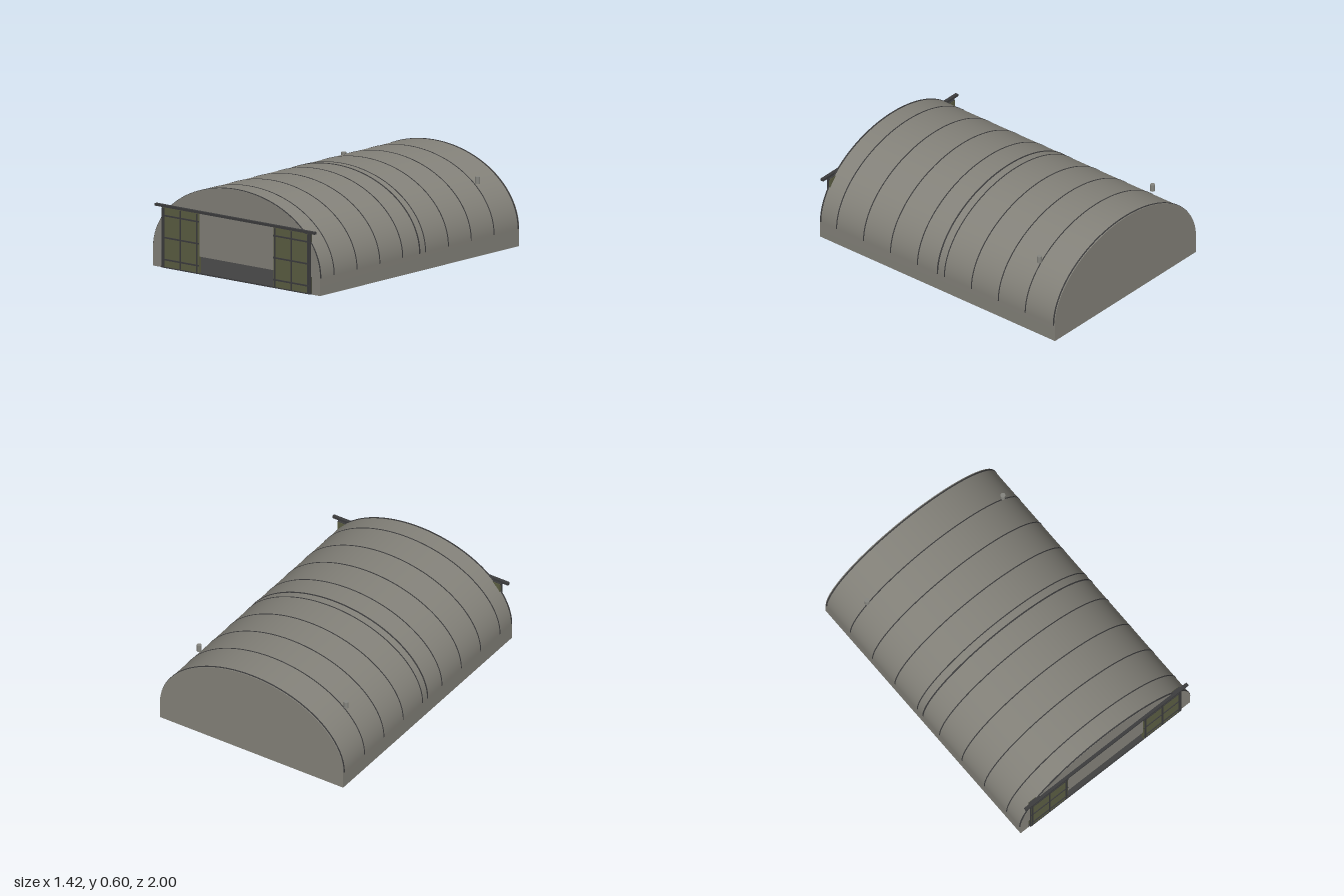
import * as THREE from 'three';
import { toCreasedNormals } from 'three/addons/utils/BufferGeometryUtils.js';

const RX = 0.707, SPRING = 0.115, RY = 0.485, INNER = 0.64;

export function createModel() {
  const root = new THREE.Group();
  root.name = 'hangar';
  const mat = (name, color) => {
    const m = new THREE.MeshStandardMaterial({ color });
    m.name = name;
    return m;
  };
  const wall = mat('concrete grey', 0x84827a);
  const dark = mat('dark steel', 0x3c3c3d);
  const olive = mat('olive paint', 0x5c5e43);
  const slab = mat('floor grey', 0x424242);
  const vent = mat('vent grey', 0x85857f);

  const add = (parent, name, geometry, material, x = 0, y = 0, z = 0) => {
    const m = new THREE.Mesh(geometry, material);
    m.name = name;
    m.position.set(x, y, z);
    parent.add(m);
    return m;
  };
  // box given by its lower and upper corners
  const box = (parent, name, material, a, b) =>
    add(parent, name, new THREE.BoxGeometry(b[0] - a[0], b[1] - a[1], b[2] - a[2]), material,
      (a[0] + b[0]) / 2, (a[1] + b[1]) / 2, (a[2] + b[2]) / 2);

  // arched cross-section, optionally with the low open bay cut out below
  const section = (bay) => {
    const s = new THREE.Shape();
    s.moveTo(RX, 0);
    s.lineTo(RX, SPRING);
    s.absellipse(0, SPRING, RX, RY, 0, Math.PI, false, 0);
    s.lineTo(-RX, 0);
    if (bay) {
      s.lineTo(-INNER, 0);
      s.lineTo(-INNER, SPRING);
      s.lineTo(INNER, SPRING);
      s.lineTo(INNER, 0);
    }
    s.closePath();
    return s;
  };
  const extrude = (bay, z0, z1) => {
    const g = new THREE.ExtrudeGeometry(section(bay), { depth: z1 - z0, bevelEnabled: false, curveSegments: 48 });
    g.translate(0, 0, z0);
    return toCreasedNormals(g, 0.6);
  };

  // vault, back wall and floor
  add(root, 'vaultedShell', extrude(true, -0.98, 0.98), wall);
  add(root, 'backWall', extrude(false, -0.995, -0.98), wall);
  box(root, 'floor', slab, [-INNER, 0, -0.98], [INNER, 0.008, 0.98]);

  // thin arched bands over the roof
  const band = (name, z, width, rise) => {
    const s = new THREE.Shape();
    s.absellipse(0, SPRING, RX + rise, RY + rise, 0, Math.PI, false, 0);
    s.absellipse(0, SPRING, RX - 0.01, RY - 0.01, Math.PI, 0, true, 0);
    s.closePath();
    const g = new THREE.ExtrudeGeometry(s, { depth: width, bevelEnabled: false, curveSegments: 48 });
    g.translate(0, 0, z - width / 2);
    add(root, name, toCreasedNormals(g, 0.6), dark);
  };
  for (let i = 0; i < 8; i++) band('roofRib', 0.84 - i * 0.2265, 0.007, 0.002);
  for (const z of [0.974, -0.008, -0.984]) band('roofHoop', z, 0.009, 0.003);

  // sliding doors with their frames, and the roof vents
  for (const side of [-1, 1]) {
    const door = new THREE.Group();
    door.name = side > 0 ? 'leftDoor' : 'rightDoor';
    root.add(door);
    const span = (name, material, x0, x1, y0, y1, z0, z1) =>
      box(door, name, material, [Math.min(side * x0, side * x1), y0, z0], [Math.max(side * x0, side * x1), y1, z1]);
    span('doorPanel', olive, 0.315, 0.625, 0.006, 0.402, 0.962, 0.984);
    for (const x of [0.33, 0.47, 0.612]) span('doorUpright', dark, x - 0.005, x + 0.005, 0.008, 0.395, 0.984, 0.99);
    for (const y of [0.055, 0.2, 0.345]) span('doorCrossbar', dark, 0.315, 0.625, y - 0.005, y + 0.005, 0.984, 0.989);
    span('doorEdge', dark, 0.62, 0.629, 0.006, 0.395, 0.975, 0.987);
    span('doorHanger', dark, 0.57, 0.628, 0.394, 0.404, 0.965, 0.984);
    add(root, 'roofVent', new THREE.CylinderGeometry(0.0165, 0.0165, 0.046, 16), vent, side * 0.567, 0.457, -0.747);
  }

  // overhead door rail and threshold
  box(root, 'doorRail', dark, [-0.677, 0.403, 0.978], [0.677, 0.419, 1]);
  box(root, 'threshold', dark, [-0.63, 0, 0.97], [0.63, 0.007, 0.988]);
  return root;
}
